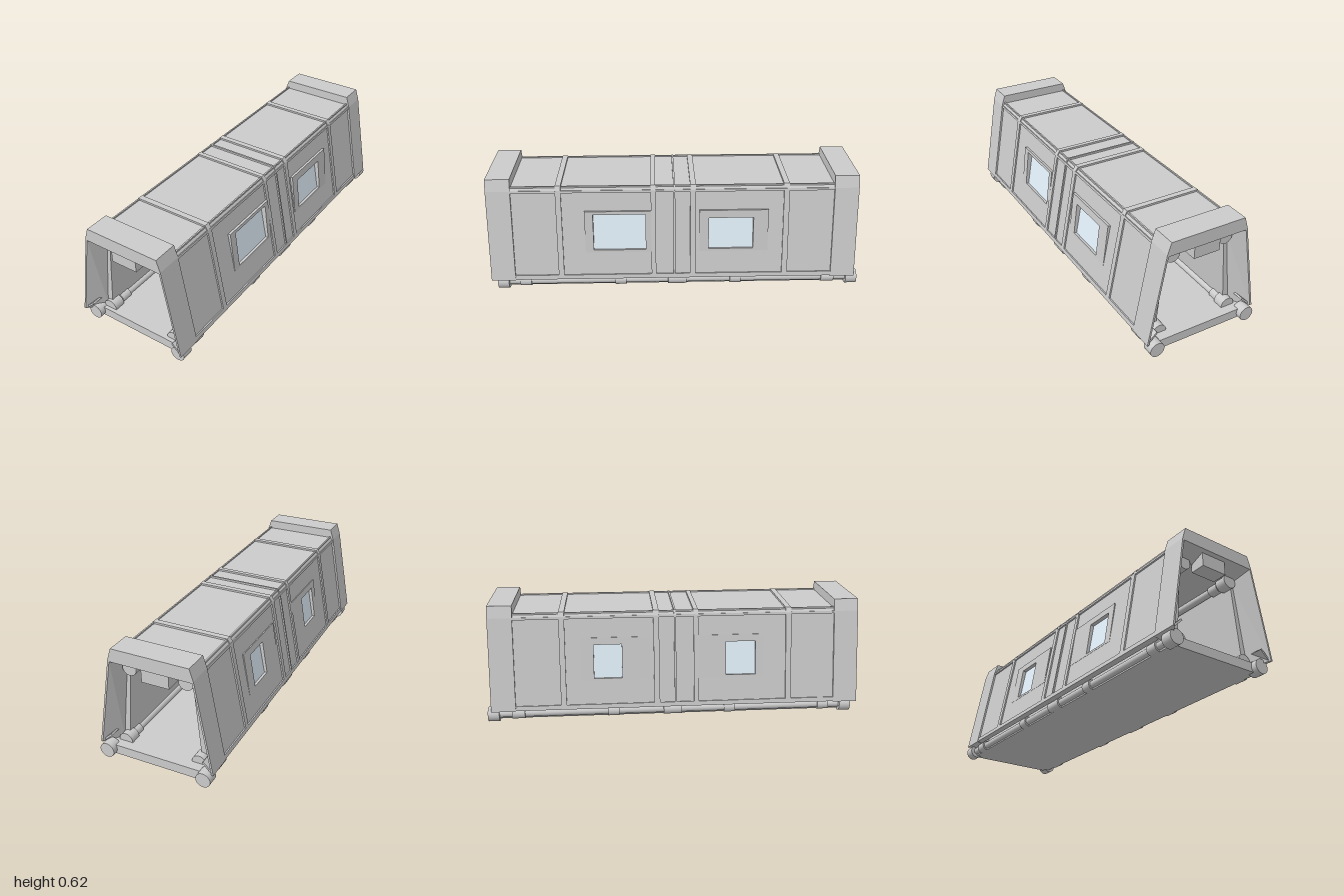
import * as THREE from 'three';

const grey = new THREE.MeshStandardMaterial({ color: 0xcccccc, flatShading: true, side: THREE.DoubleSide });
const smooth = new THREE.MeshStandardMaterial({ color: 0xcccccc });
const glass = new THREE.MeshStandardMaterial({ color: 0xe4f2fc });

function add(parent, name, geo, mat = grey) {
  const m = new THREE.Mesh(geo, mat);
  m.name = name;
  parent.add(m);
  return m;
}

// Box given by its extents on each axis
function box(parent, name, x0, x1, y0, y1, z0, z1, mat) {
  const m = add(parent, name, new THREE.BoxGeometry(x1 - x0, y1 - y0, z1 - z0), mat);
  m.position.set((x0 + x1) / 2, (y0 + y1) / 2, (z0 + z1) / 2);
  return m;
}

const rectPoints = (x0, x1, y0, y1) =>
  [[x0, y0], [x1, y0], [x1, y1], [x0, y1]].map(p => new THREE.Vector2(...p));

// Profile in x, y pushed along z from z0 to z1
function prism(parent, name, shape, z0, z1) {
  const geo = new THREE.ExtrudeGeometry(shape, { depth: z1 - z0, bevelEnabled: false });
  return add(parent, name, geo.translate(0, 0, z0));
}

const mirrorProfile = half =>
  [...half.map(([x, y]) => [-x, y]), ...half.slice().reverse()];

// Surface between open cross-sections, with both feet closed
function archLoft(sections) {
  const n = sections[0].pts.length, pos = [], idx = [];
  sections.forEach(s => s.pts.forEach(([x, y]) => pos.push(x, y, s.z)));
  for (let i = 0; i < sections.length - 1; i++)
    for (let j = 0; j < n - 1; j++) {
      const a = i * n + j, b = a + 1, c = a + n, d = c + 1;
      idx.push(a, c, b, b, c, d);
    }
  for (let i = 1; i < sections.length - 1; i++) {
    idx.push(0, (i + 1) * n, i * n);
    idx.push(n - 1, i * n + n - 1, (i + 1) * n + n - 1);
  }
  const geo = new THREE.BufferGeometry();
  geo.setAttribute('position', new THREE.Float32BufferAttribute(pos, 3));
  geo.setIndex(idx);
  geo.computeVertexNormals();
  return geo;
}

const RIBS = [[0.605, 0.635], [0.105, 0.13], [0.0, 0.01], [-0.11, -0.08], [-0.61, -0.58]];
const Z0 = -0.86, Z1 = 0.88;
const TILT = 0.178, SLOPE = 0.498;

// Leaning side wall: local x runs along the corridor, y up the slope, z outward
function sideWall(s) {
  const side = new THREE.Group();
  side.name = s > 0 ? 'leftWall' : 'rightWall';
  side.rotation.y = s > 0 ? 0 : Math.PI;
  const lean = new THREE.Group();
  lean.position.set(0.31, 0.07, 0);
  lean.rotation.z = TILT;
  side.add(lean);
  const wall = new THREE.Group();
  wall.rotation.y = Math.PI / 2;
  lean.add(wall);
  const span = (a, b) => [Math.min(-s * a, -s * b), Math.max(-s * a, -s * b)];

  // frame extents, then glass extents
  const windows = s > 0
    ? [[0.13, 0.485, 0.16, 0.44, 0.365], [-0.5, -0.13, -0.42, -0.18, 0.34]]
    : [[0.13, 0.485, 0.28, 0.44, 0.345], [-0.5, -0.13, -0.43, -0.28, 0.345]];
  const panel = new THREE.Shape(rectPoints(...span(Z0, Z1), 0, SLOPE));
  for (const [f0, f1, g0, g1, top] of windows) {
    const hole = rectPoints(...span(g0, g1), 0.163, top);
    panel.holes.push(new THREE.Path(hole));
    const frame = new THREE.Shape(rectPoints(...span(f0, f1), 0.15, 0.383));
    frame.holes.push(new THREE.Path(hole));
    // frame stands proud at the top and fades into the wall below
    const rim = prism(wall, 'windowFrame', frame, -0.03, -0.004);
    const p = rim.geometry.attributes.position;
    for (let i = 0; i < p.count; i++)
      if (p.getZ(i) > -0.02) p.setZ(i, -0.007 + (s > 0 ? 0.014 : 0.005) * (p.getY(i) - 0.15) / 0.233);
    rim.geometry.computeVertexNormals();
    box(wall, 'windowGlass', ...span(g0, g1), 0.163, top, -0.028, -0.022, glass);
  }
  prism(wall, 'wallPanel', panel, -0.03, -0.008);
  RIBS.forEach(([a, b]) => box(wall, 'wallRib', ...span(a, b), 0, SLOPE, -0.03, 0));
  box(wall, 'topRail', ...span(Z0, Z1), 0.485, SLOPE, -0.03, 0);
  box(wall, 'bottomRail', ...span(Z0, Z1), 0, 0.024, -0.03, 0);

  // window casings on the inner lining
  for (const [f0, f1, g0, g1] of windows) {
    const casing = new THREE.Group();
    casing.name = 'innerCasing';
    casing.position.set(0.167, 0.322, 0);
    casing.rotation.z = s > 0 ? 0.1 : 0.14;
    side.add(casing);
    const w = s > 0 ? 0.008 : 0.013;
    box(casing, 'casing', -w, 0.03, -0.123, 0.123, s * (f0 + f1) / 2 - 0.18, s * (f0 + f1) / 2 + 0.18);
    const c = s * (g0 + g1) / 2, h = (g1 - g0) / 2;
    box(casing, 'casingGlass', -w - 0.003, 0, -0.09, 0.09, c - h, c + h, glass);
  }
  return side;
}

// Flared end portal, its opening facing +z
function portal() {
  const g = new THREE.Group();
  g.name = 'endPortal';
  const outer = [[0.312, 0.068], [0.225, 0.56], [0.205, 0.622]];
  const ring = (z, half) => ({ z, pts: mirrorProfile(half) });
  add(g, 'portalShell', archLoft([
    ring(-0.13, [[0.24, 0.05], [0.19, 0.53], [0.18, 0.54]]),
    ring(-0.13, outer),
    ring(0, outer),
    ring(0, [[0.302, 0.068], [0.217, 0.55], [0.205, 0.55]]),
    ring(-0.1, [[0.237, 0.048], [0.18, 0.505], [0.165, 0.512]])
  ]));
  // small foot flanges
  for (const s of [-1, 1]) {
    const foot = box(g, 'footFlange', -0.036, 0.036, -0.005, 0.005, -0.11, -0.01);
    foot.position.set(s * 0.277, 0.095, -0.06);
    foot.rotation.z = -s * 0.76;
  }
  return g;
}

// Thin pipe with collars and wide end caps
function pipe(x, y, zBack, zFront, capR) {
  const g = new THREE.Group();
  g.name = 'pipe';
  g.position.set(x, y, 0);
  const rod = (name, r, a, b) => {
    const m = add(g, name, new THREE.CylinderGeometry(r, r, b - a, 32), smooth);
    m.rotation.x = Math.PI / 2;
    m.position.z = (a + b) / 2;
  };
  rod('pipeRod', 0.02, zBack, zFront);
  rod('pipeCap', capR, zBack, zBack + 0.06);
  rod('pipeCap', capR, zFront - 0.06, zFront);
  for (const [z, h] of [[0.82, 0.03], [0.3, 0.03], [-0.01, 0.05], [-0.33, 0.03], [-0.84, 0.035]])
    rod('pipeCollar', 0.028, z - h, z + h);
  return g;
}

export function createModel() {
  const model = new THREE.Group();
  model.name = 'corridorModule';

  box(model, 'floor', -0.265, 0.265, 0.012, 0.062, -0.97, 0.94);

  // inner lining with posts showing at the ends
  const arch = [
    ...mirrorProfile([[0.237, 0.05], [0.18, 0.53]]),
    ...mirrorProfile([[0.205, 0.05], [0.165, 0.51]]).reverse()
  ];
  prism(model, 'innerLining', new THREE.Shape(arch.map(p => new THREE.Vector2(...p))), -0.885, 0.905);

  // roof with raised ribs
  const roof = lift => new THREE.Shape(
    mirrorProfile([[0.195, 0.53], [0.222 - 0.004 + lift / 2, 0.557], [0.207, 0.573 + lift]])
      .map(p => new THREE.Vector2(...p)));
  prism(model, 'roof', roof(0), Z0, Z1);
  RIBS.forEach(([a, b]) => prism(model, 'roofRib', roof(0.01), a, b));
  for (const s of [-1, 1])
    box(model, 'roofEdge', s * 0.204 - 0.004, s * 0.204 + 0.004, 0.56, 0.58, Z0, Z1);

  for (const s of [-1, 1]) {
    model.add(sideWall(s));
    const end = portal();
    end.position.z = s > 0 ? 1 : -0.98;
    end.rotation.y = s > 0 ? 0 : Math.PI;
    model.add(end);
    model.add(pipe(s * 0.266, 0.04, -1, 0.97, 0.039));
    model.add(pipe(s * 0.205, 0.067, -0.92, 0.92, 0.038));
    model.add(pipe(s * 0.15, 0.497, -0.92, 0.92, 0.038));
  }

  // boxes hung under the headers
  box(model, 'frontHeaderBox', -0.085, 0.06, 0.47, 0.56, 0.9, 0.98);
  box(model, 'backHeaderBox', -0.085, 0.06, 0.47, 0.56, -0.96, -0.88);

  return model;
}
